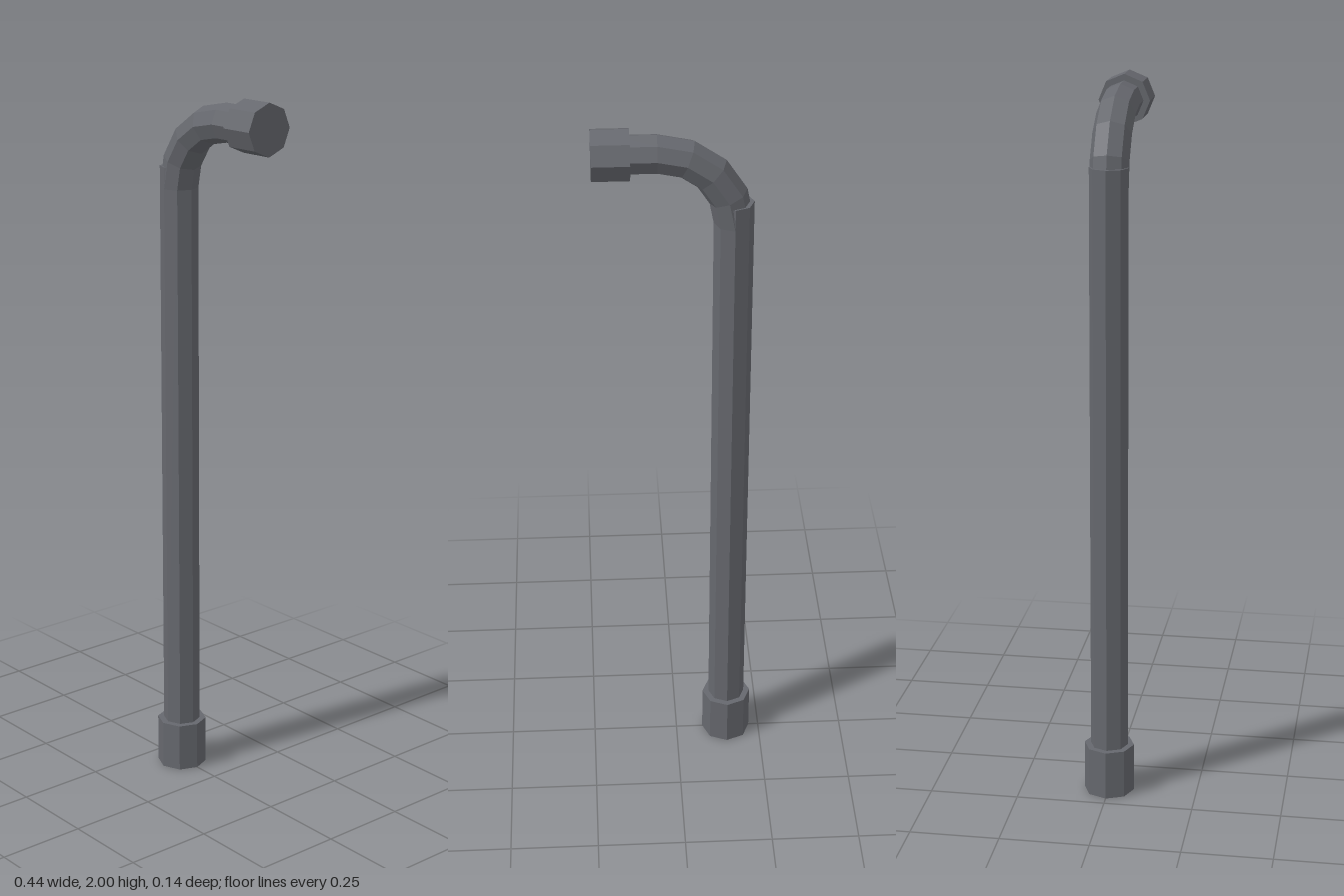
import * as THREE from 'three';

const SIDES = 8;
const SHAFT_R = 0.053;
const SOCKET_R = 0.071;
const SHAFT_X = -0.15;
const ARM_Y = 1.93;
const BEND_R = 0.2;

// Quarter circle from the top of the shaft to the start of the arm
class BendCurve extends THREE.Curve {
  getPoint(t, target = new THREE.Vector3()) {
    const a = t * Math.PI / 2;
    return target.set(
      SHAFT_X + BEND_R * (1 - Math.cos(a)),
      ARM_Y - BEND_R * (1 - Math.sin(a)),
      0
    );
  }
}

export function createModel() {
  const model = new THREE.Group();
  model.name = 'socketWrench';

  const steel = new THREE.MeshStandardMaterial({ color: 0x66686e });
  steel.name = 'darkSteel';
  steel.flatShading = true;

  const add = (name, geometry) => {
    const mesh = new THREE.Mesh(geometry, steel);
    mesh.name = name;
    model.add(mesh);
  };

  // Octagonal bar standing on the shaft axis, from y0 to y1
  const upright = (name, r, y0, y1) => add(name,
    new THREE.CylinderGeometry(r, r, y1 - y0, SIDES)
      .translate(SHAFT_X, (y0 + y1) / 2, 0));

  // Octagonal bar lying on the arm axis, from x0 to x1
  const level = (name, r, x0, x1) => add(name,
    new THREE.CylinderGeometry(r, r, x1 - x0, SIDES)
      .rotateZ(-Math.PI / 2)
      .translate((x0 + x1) / 2, ARM_Y, 0));

  // Long shaft with its lower socket; its top end steps out behind the bend
  upright('lowerSocket', SOCKET_R, 0, 0.14);
  upright('shaft', SHAFT_R, 0.1, 1.79);

  // Bend, short arm and upper socket
  add('bend', new THREE.TubeGeometry(new BendCurve(), 4, SHAFT_R, SIDES, false));
  level('arm', SHAFT_R, SHAFT_X + BEND_R, 0.16);
  level('upperSocket', SOCKET_R, 0.12, 0.22);

  return model;
}
